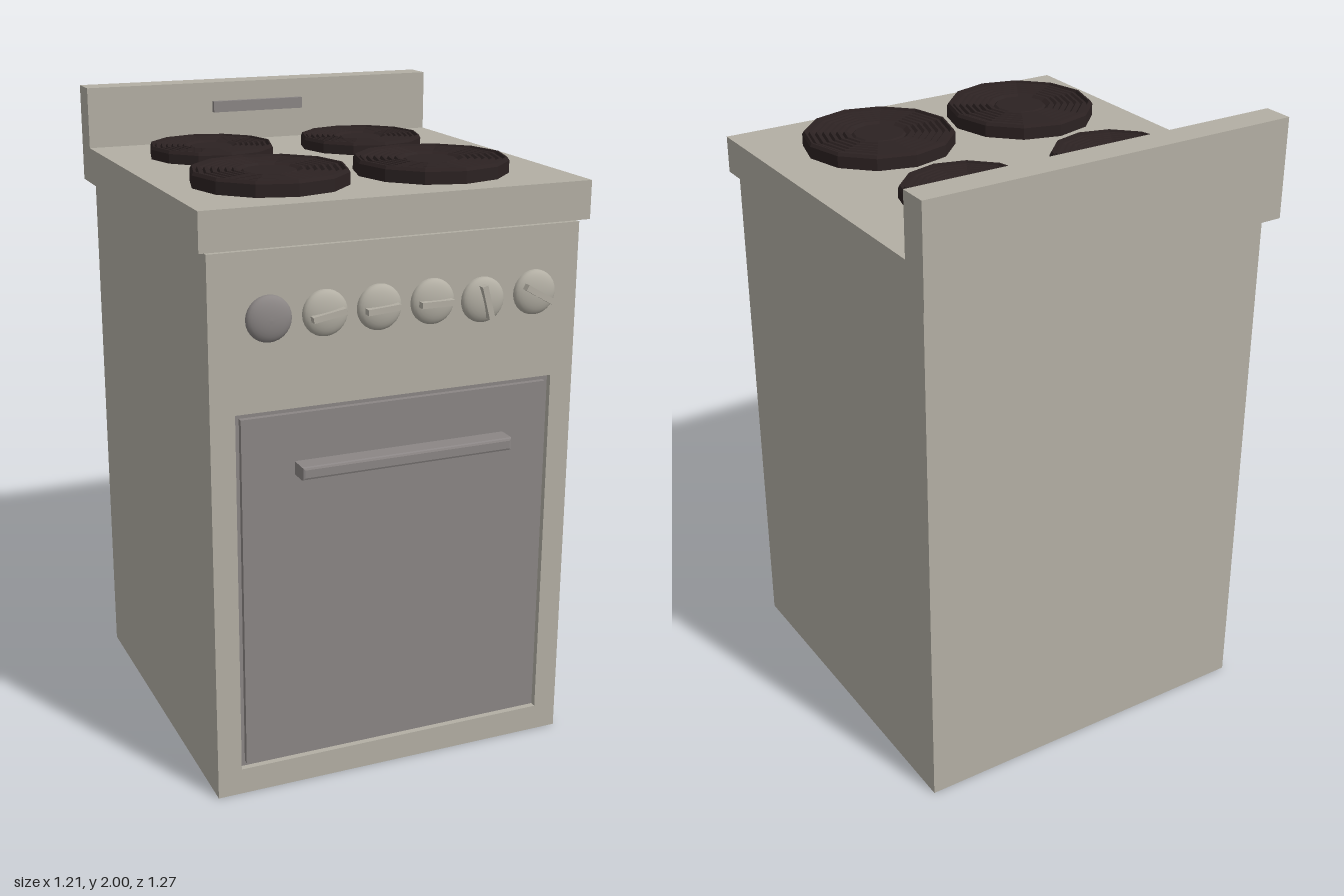
import * as THREE from 'three';

const mat = (name, color) => {
  const m = new THREE.MeshStandardMaterial({ color });
  m.name = name;
  return m;
};

export function createModel() {
  const enamel = mat('warm grey enamel', 0xb3afa4);
  const steel = mat('door grey', 0x8b8685);
  const iron = mat('dark burner iron', 0x2c2222);
  const stove = new THREE.Group();
  stove.name = 'stove';

  const add = (name, geometry, material, parent = stove) => {
    const mesh = new THREE.Mesh(geometry, material);
    mesh.name = name;
    parent.add(mesh);
    return mesh;
  };
  // Box given by its limits on each axis
  const box = (name, material, [x0, x1], [y0, y1], [z0, z1]) => {
    const mesh = add(name, new THREE.BoxGeometry(x1 - x0, y1 - y0, z1 - z0), material);
    mesh.position.set((x0 + x1) / 2, (y0 + y1) / 2, (z0 + z1) / 2);
    return mesh;
  };
  const rect = (path, x0, x1, y0, y1) =>
    path.moveTo(x0, y0).lineTo(x1, y0).lineTo(x1, y1).lineTo(x0, y1).closePath();

  // Cabinet, with a front panel cut open around the oven door
  const front = 0.572, inner = 0.55;
  box('cabinet', enamel, [-0.583, 0.579], [0, 1.682], [-0.59, inner]);
  const panel = rect(new THREE.Shape(), -0.583, 0.579, 0, 1.682);
  panel.holes.push(rect(new THREE.Path(), -0.508, 0.505, 0.083, 1.215));
  const panelGeo = new THREE.ExtrudeGeometry(panel, { depth: front - inner, bevelEnabled: false });
  add('frontPanel', panelGeo, enamel).position.z = inner;

  // Oven door in its recess
  box('doorRecess', steel, [-0.508, 0.505], [0.083, 1.215], [inner - 0.003, inner + 0.003]);
  box('ovenDoor', steel, [-0.491, 0.488], [0.1, 1.198], [inner, front - 0.002]);

  // Door handle with softened edges
  const bar = rect(new THREE.Shape(), -0.322, 0.337, 1.023, 1.047);
  const barGeo = new THREE.ExtrudeGeometry(bar, {
    depth: 0.055, bevelThickness: 0.008, bevelSize: 0.008, bevelSegments: 2,
  });
  add('doorHandle', barGeo, steel).position.z = 0.574;

  // Cooktop slab and splashback as one side profile, swept across the width
  const side = new THREE.Shape([
    [-0.59, 1.69], [0.637, 1.69], [0.637, 2], [0.543, 2], [0.543, 1.806], [-0.59, 1.806],
  ].map(([x, y]) => new THREE.Vector2(x, y)));
  const topGeo = new THREE.ExtrudeGeometry(side, { depth: 1.213, bevelEnabled: false });
  topGeo.rotateY(Math.PI / 2).translate(-0.609, 0, 0);
  add('cooktop', topGeo, enamel);
  box('splashbackPlate', steel, [-0.182, 0.134], [1.902, 1.938], [-0.545, -0.526]);

  // Twelve-sided burners with concentric ridges
  const burner = (name, x, z, r, h) => {
    const points = [[0, h - 0.008], [0.33 * r, h - 0.008], [0.36 * r, h - 0.014]];
    for (let i = 0; i < 6; i++) {
      const a = (0.42 + i * 0.09) * r;
      points.push([a, h - 0.004], [a + 0.035 * r, h - 0.004], [a + 0.055 * r, h - 0.013]);
    }
    points.push([0.95 * r, h], [0.975 * r, h], [r, h - 0.01], [r, 0]);
    const profile = points.reverse().map(([a, y]) => new THREE.Vector2(a, y));
    const geo = new THREE.LatheGeometry(profile, 12).toNonIndexed();
    geo.computeVertexNormals();
    add(name, geo, iron).position.set(x, 1.805, z);
  };
  for (const [label, x] of [['Right', -0.285], ['Left', 0.234]]) {
    burner('back' + label + 'Burner', x, -0.255, 0.199, 0.041);
    burner('front' + label + 'Burner', x, 0.271, 0.236, 0.048);
  }

  // Control knobs: a shallow dome, most with a grip bar turned by some degrees
  const R = 0.068, H = 0.026;
  const dome = [new THREE.Vector2(R, 0)];
  for (let i = 0; i <= 8; i++) {
    const a = (i / 8) * Math.PI / 2;
    dome.push(new THREE.Vector2(R * Math.cos(a), 0.006 + H * Math.sin(a)));
  }
  const domeGeo = new THREE.LatheGeometry(dome, 28).rotateX(Math.PI / 2);
  const gripGeo = new THREE.BoxGeometry(0.102, 0.018, 0.03);
  [
    [-0.406, 1.487, null], [-0.237, 1.487, 10], [-0.07, 1.487, 4],
    [0.098, 1.487, 0], [0.261, 1.476, -75], [0.433, 1.482, -30],
  ].forEach(([x, y, turn], i) => {
    const knob = new THREE.Group();
    knob.name = 'knob' + (i + 1);
    knob.position.set(x, y, front);
    stove.add(knob);
    add('knobDome', domeGeo, turn === null ? steel : enamel, knob);
    if (turn === null) return;
    const grip = add('knobGrip', gripGeo, enamel, knob);
    grip.position.z = 0.031;
    grip.rotation.z = THREE.MathUtils.degToRad(turn);
  });

  return stove;
}
